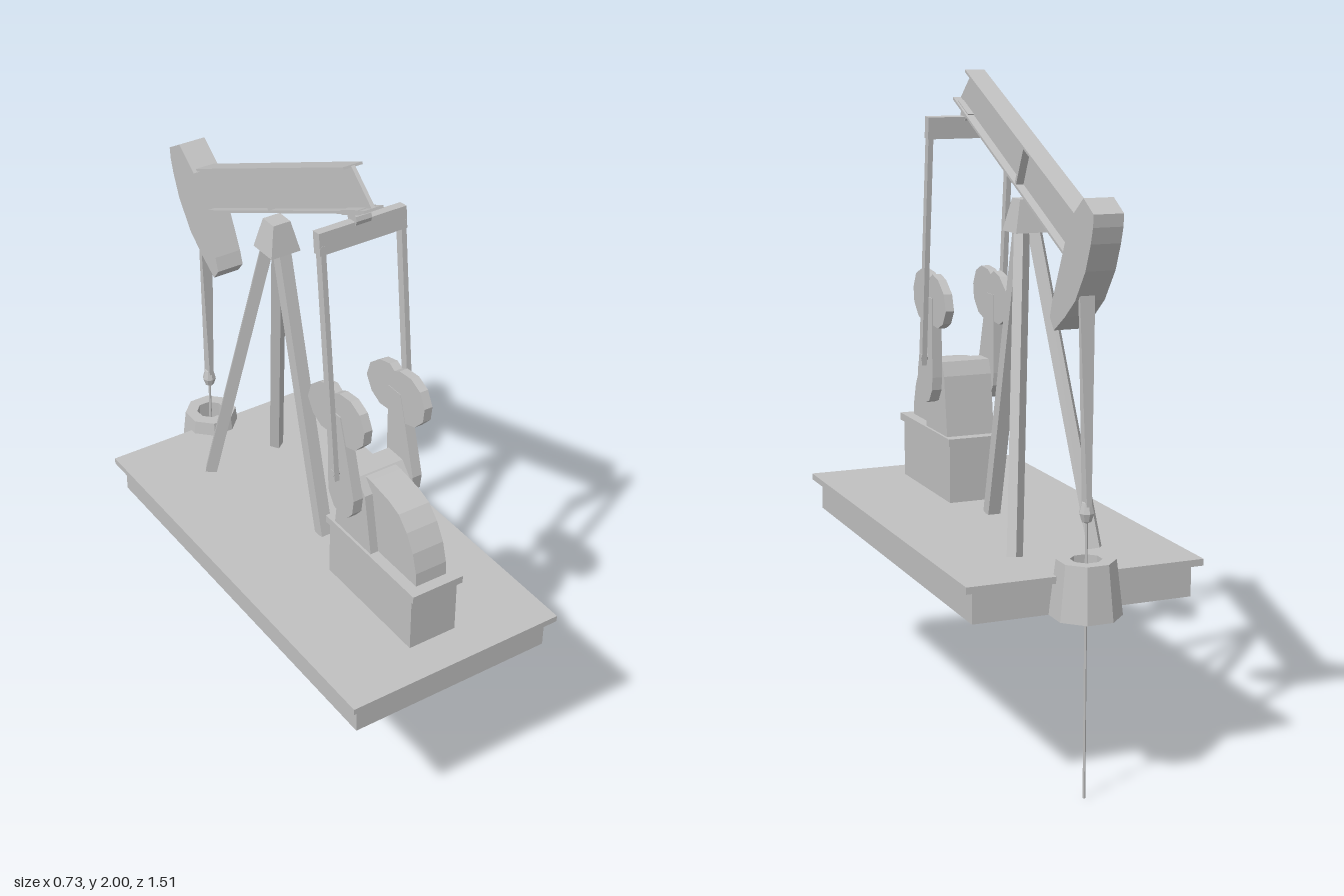
import * as THREE from 'three';

const grey = new THREE.MeshStandardMaterial({ color: 0xc0c0c0 });
grey.name = 'painted steel grey';
grey.flatShading = true;
grey.side = THREE.DoubleSide;

const V = (x, y, z) => new THREE.Vector3(x, y, z);

function part(parent, name, geometry, x = 0, y = 0, z = 0) {
  const mesh = new THREE.Mesh(geometry, grey);
  mesh.name = name;
  mesh.position.set(x, y, z);
  parent.add(mesh);
  return mesh;
}

// Side profile of [z, y] points, given a width across x
function plate(profile, width) {
  const shape = new THREE.Shape(profile.map(([z, y]) => new THREE.Vector2(z, y)));
  const g = new THREE.ExtrudeGeometry(shape, { depth: width, bevelEnabled: false });
  return g.translate(0, 0, -width / 2).rotateY(-Math.PI / 2);
}

// Square bar between two points
function bar(a, b, w, d = w) {
  const dir = b.clone().sub(a);
  const g = new THREE.BoxGeometry(w, dir.length(), d);
  g.applyQuaternion(new THREE.Quaternion().setFromUnitVectors(V(0, 1, 0), dir.normalize()));
  const mid = a.clone().add(b).multiplyScalar(0.5);
  return g.translate(mid.x, mid.y, mid.z);
}

const axle = (r, length) => new THREE.CylinderGeometry(r, r, length, 10).rotateZ(Math.PI / 2);

function addBase(g) {
  part(g, 'deck', new THREE.BoxGeometry(0.722, 0.02, 1.4), 0, 0.645, 0.055);
  // Thin skirt, open underneath
  for (const s of [-1, 1]) {
    part(g, 'skirtSide', new THREE.BoxGeometry(0.006, 0.095, 1.35), s * 0.332, 0.5875, 0.055);
    part(g, 'skirtEnd', new THREE.BoxGeometry(0.658, 0.095, 0.006), 0, 0.5875, 0.055 + s * 0.672);
  }
}

function addTripod(g) {
  const cap = new THREE.CylinderGeometry(0.029 * Math.SQRT2, 0.05 * Math.SQRT2, 0.095, 4);
  part(g, 'tripodCap', cap.rotateY(Math.PI / 4), 0, 1.6, -0.202);
  part(g, 'singleLeg', bar(V(0, 1.57, -0.18), V(0, 0.655, 0.053), 0.04));
  for (const s of [-1, 1]) {
    part(g, 'splayedLeg', bar(V(s * 0.018, 1.57, -0.22), V(s * 0.125, 0.655, -0.423), 0.032, 0.036));
  }
}

function addBeam(g) {
  // Tilted I-beam: web, two flanges and a stiffener
  part(g, 'beamWeb', plate([[0.286, 1.913], [0.185, 1.997], [-0.608, 1.638], [-0.556, 1.521]], 0.012));
  part(g, 'topFlange', plate([[0.185, 1.999], [-0.62, 1.635], [-0.617, 1.628], [0.188, 1.992]], 0.062));
  part(g, 'bottomFlange', plate([[0.286, 1.914], [-0.556, 1.522], [-0.553, 1.515], [0.289, 1.907]], 0.062));
  part(g, 'stiffener', plate([[-0.255, 1.796], [-0.2, 1.684], [-0.19, 1.688], [-0.245, 1.8]], 0.058));

  part(g, 'beamHead', plate([
    [-0.688, 1.692], [-0.751, 1.655], [-0.748, 1.62], [-0.735, 1.575], [-0.704, 1.5], [-0.64, 1.412],
    [-0.575, 1.36], [-0.503, 1.313], [-0.476, 1.347], [-0.49, 1.39], [-0.605, 1.63],
  ], 0.088));
}

function addWell(g) {
  const x = 0.012, z = -0.658;
  // Open-bottomed octagonal wellhead with a hole in its top
  const profile = [[0.103, 0.54], [0.084, 0.7], [0.045, 0.7], [0.045, 0.63]];
  const collar = new THREE.LatheGeometry(profile.map(([r, y]) => new THREE.Vector2(r, y)), 8, Math.PI / 8);
  part(g, 'wellhead', collar, x, 0, z);
  part(g, 'polishedRod', new THREE.CylinderGeometry(0.004, 0.004, 0.82, 6), x, 0.41, z);

  // Bridle: wide across x at the top, wide along z at the bottom
  const bridle = new THREE.BoxGeometry(1, 0.58, 1);
  const p = bridle.attributes.position;
  for (let i = 0; i < p.count; i++) {
    const top = p.getY(i) > 0;
    p.setX(i, p.getX(i) * (top ? 0.045 : 0.014));
    p.setZ(i, p.getZ(i) * (top ? 0.01 : 0.034) + (top ? 0.012 : 0));
  }
  part(g, 'bridle', bridle, x, 1.14, z);
  const clamp = [[0, 0.8], [0.014, 0.806], [0.022, 0.83], [0.014, 0.86], [0, 0.862]];
  part(g, 'rodClamp', new THREE.LatheGeometry(clamp.map(([r, y]) => new THREE.Vector2(r, y)), 8), x, 0, z);
}

function addDrive(parent) {
  const g = new THREE.Group();
  g.name = 'driveUnit';
  g.position.x = -0.004;
  parent.add(g);

  part(g, 'plinth', new THREE.BoxGeometry(0.16, 0.185, 0.42), 0, 0.7475, 0.422);
  part(g, 'plinthLid', new THREE.BoxGeometry(0.174, 0.024, 0.448), 0, 0.85, 0.425);
  part(g, 'motorHood', plate([
    [0.614, 0.86], [0.611, 0.905], [0.593, 0.966], [0.561, 1.02], [0.52, 1.06], [0.47, 1.077],
    [0.38, 1.09], [0.33, 1.09], [0.33, 0.86],
  ], 0.105));
  part(g, 'gearbox', plate([[0.425, 0.86], [0.39, 1.05], [0.35, 1.094], [0.28, 1.094], [0.262, 1.05], [0.238, 0.86]], 0.158));
  part(g, 'crankShaft', axle(0.035, 0.2), 0, 1.035, 0.323);

  const crank = [
    [0.392, 1.05], [0.385, 1.0], [0.36, 0.97], [0.328, 0.96], [0.29, 0.972], [0.264, 1.01],
    [0.26, 1.05], [0.26, 1.3], [0.318, 1.3], [0.34, 1.23],
  ];
  // Two overlapping lobes
  const lobes = [
    [0.434, 1.315], [0.41, 1.36], [0.365, 1.38], [0.31, 1.375], [0.285, 1.362], [0.262, 1.375], [0.215, 1.363],
    [0.165, 1.325], [0.148, 1.275], [0.175, 1.232], [0.217, 1.212], [0.262, 1.216], [0.29, 1.232],
    [0.338, 1.212], [0.39, 1.228], [0.428, 1.268],
  ];
  for (const s of [-1, 1]) {
    part(g, 'crankArm', plate(crank, 0.032), s * 0.103, 0, 0);
    part(g, 'counterweight', plate(lobes, 0.027), s * 0.102, 0, 0);
    part(g, 'crankPin', axle(0.012, 0.04), s * 0.12, 1.11, 0.31);
    part(g, 'pitmanArm', bar(V(s * 0.131, 1.085, 0.312), V(s * 0.131, 1.82, 0.236), 0.016, 0.026));
  }

  // Equalizer bar hung under the beam
  const equalizer = part(g, 'equalizer', new THREE.BoxGeometry(0.284, 0.066, 0.03), 0, 1.826, 0.233);
  equalizer.rotation.x = -0.1;
  const hanger = part(g, 'equalizerBracket', new THREE.BoxGeometry(0.058, 0.014, 0.09), 0, 1.88, 0.222);
  hanger.rotation.x = -0.43;
  part(g, 'equalizerBearing', axle(0.022, 0.05), 0, 1.863, 0.228);
}

export function createModel() {
  const model = new THREE.Group();
  model.name = 'oilPump';
  const pump = new THREE.Group();
  pump.name = 'pumpAssembly';
  pump.rotation.y = -0.0085;
  model.add(pump);
  addBase(pump);
  addTripod(pump);
  addBeam(pump);
  addWell(pump);
  addDrive(pump);
  return model;
}
